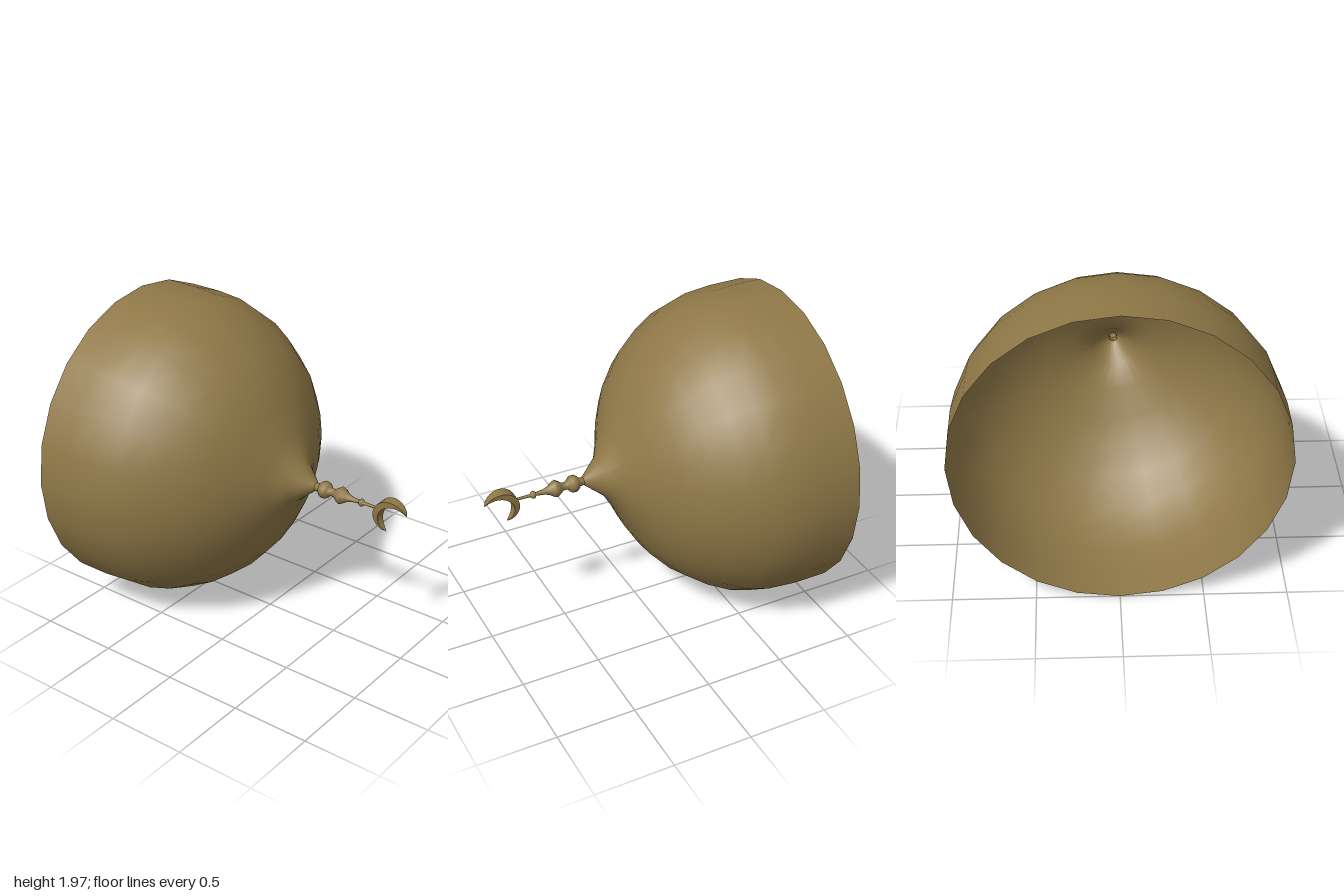
import * as THREE from 'three';

const AXIS_Y = 0.985;

// Lathe from [z, radius] pairs, turned so its axis runs along +z
function turned(name, profile, segments, material) {
  const geo = new THREE.LatheGeometry(profile.map(([z, r]) => new THREE.Vector2(r, z)), segments);
  geo.rotateX(Math.PI / 2);
  geo.translate(0, AXIS_Y, 0);
  const mesh = new THREE.Mesh(geo, material);
  mesh.name = name;
  return mesh;
}

// Curved blade: four-cornered sections between an outer and an inner arc, thinning to both tips
function crescentGeometry() {
  const steps = 16, rings = [];
  const tipA = new THREE.Vector2(1.0, 0.995), tipB = new THREE.Vector2(0.86, 0.858);
  const centre = new THREE.Vector2(0.89, 0.957), radius = 0.111;
  const start = Math.atan2(tipA.y - centre.y, tipA.x - centre.x);
  const end = Math.atan2(tipB.y - centre.y, tipB.x - centre.x) + Math.PI * 2;
  for (let i = 0; i <= steps; i++) {
    const t = i / steps, a = start + (end - start) * t;
    const bulge = Math.sin(Math.PI * t);
    const thick = 0.042 * bulge, half = 0.04 * Math.pow(bulge, 0.6);
    const point = (x, r) => [x, centre.y + Math.sin(a) * r, centre.x + Math.cos(a) * r];
    rings.push([point(-half, radius), point(half, radius), point(half, radius - thick), point(-half, radius - thick)]);
  }
  const pos = [];
  for (let i = 0; i < steps; i++) {
    for (let k = 0; k < 4; k++) {
      const n = (k + 1) % 4;
      const a = rings[i][k], b = rings[i][n], c = rings[i + 1][n], d = rings[i + 1][k];
      pos.push(...a, ...b, ...c, ...a, ...c, ...d);
    }
  }
  const geo = new THREE.BufferGeometry();
  geo.setAttribute('position', new THREE.Float32BufferAttribute(pos, 3));
  geo.computeVertexNormals();
  return geo;
}

export function createModel() {
  const group = new THREE.Group();
  group.name = 'domeWithFinial';
  const bronze = new THREE.MeshStandardMaterial({ color: 0x8f7847, side: THREE.DoubleSide });
  bronze.name = 'bronze';

  // Open dome shell, drawn up to a point at the front
  group.add(turned('dome', [
    [-1, 0.983], [-0.78, 0.983], [-0.6, 0.968], [-0.45, 0.925], [-0.305, 0.847],
    [-0.155, 0.735], [-0.03, 0.595], [0.065, 0.437], [0.145, 0.27], [0.22, 0.137], [0.35, 0.025],
  ], 24, bronze));

  // Beaded stem
  group.add(turned('finialStem', [
    [0.33, 0.026], [0.375, 0.026], [0.385, 0.04], [0.402, 0.053], [0.428, 0.053], [0.447, 0.04],
    [0.457, 0.025], [0.488, 0.025], [0.505, 0.038], [0.53, 0.055], [0.55, 0.047], [0.575, 0.03],
    [0.605, 0.018], [0.662, 0.011], [0.668, 0.02], [0.678, 0.025], [0.69, 0.02], [0.697, 0.01], [0.8, 0.008],
  ], 12, bronze));

  // Crescent at the end of the stem
  const crescent = new THREE.Mesh(crescentGeometry(), bronze);
  crescent.name = 'crescent';
  group.add(crescent);
  return group;
}
